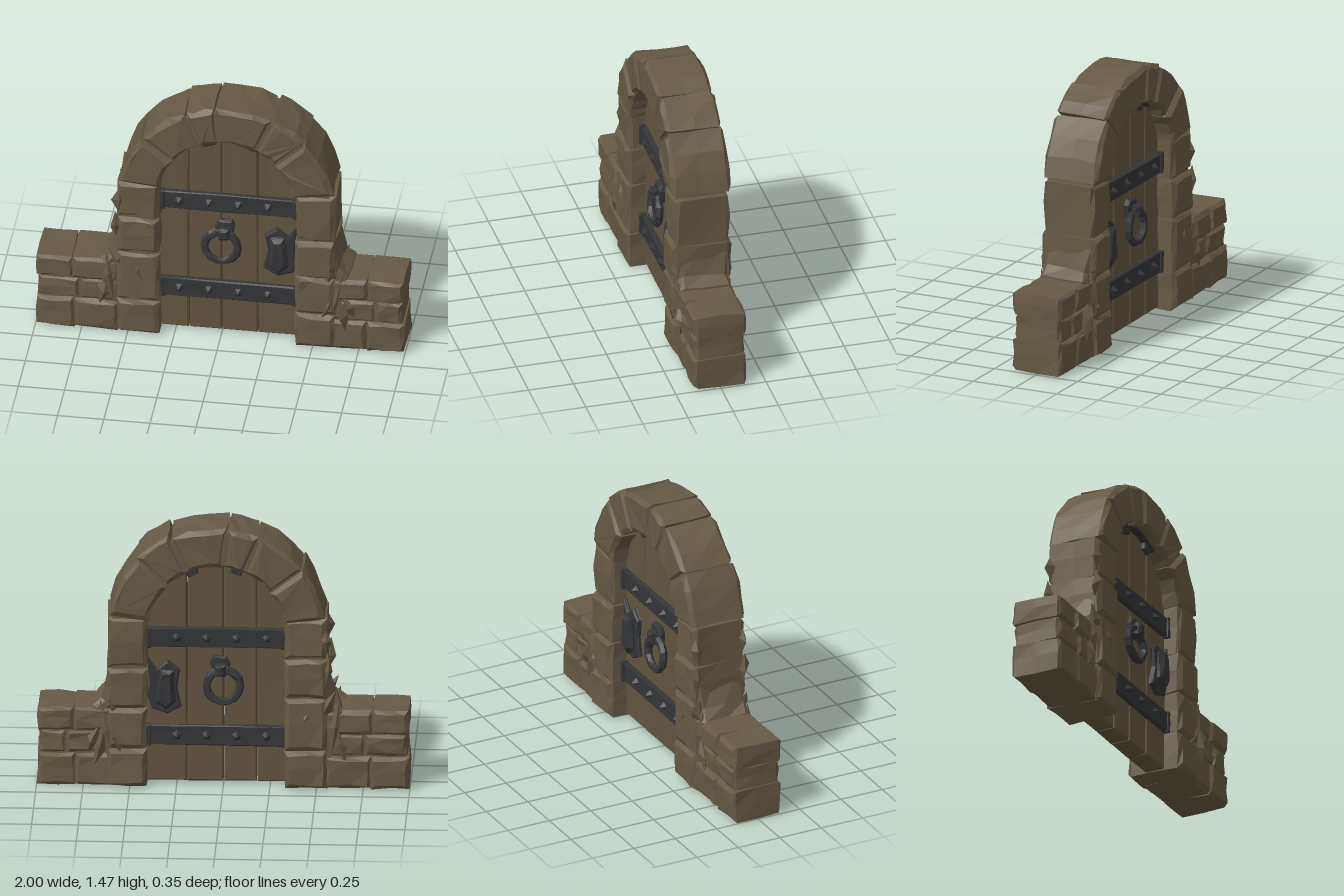
import * as THREE from 'three';

const mat = (name, color) => new THREE.MeshStandardMaterial({ name, color, flatShading: true });

// Repeatable noise in -1..1, equal for equal positions
function noise(x, y, z, k) {
  const s = Math.sin(x * 127.1 + y * 311.7 + z * 74.7 + k * 53.3) * 43758.5453;
  return (s - Math.floor(s)) * 2 - 1;
}

// Moves coincident corners together for a hewn look
function roughen(geo, amount, seed = 0) {
  const p = geo.attributes.position;
  for (let i = 0; i < p.count; i++) {
    const q = [p.getX(i), p.getY(i), p.getZ(i)];
    const r = q.map(v => Math.round(v * 1000) / 1000 + 0);
    p.setXYZ(i, ...q.map((v, k) => v + noise(r[0], r[1], r[2], k + seed) * amount));
  }
  geo.computeVertexNormals();
  return geo;
}

export function createModel() {
  const root = new THREE.Group();
  root.name = 'archedDoor';
  const stone = mat('stone', 0x665a44);
  const wood = mat('wood', 0x62553f);
  const iron = mat('iron', 0x353638);

  const add = (name, geo, material, parent = root) => {
    const m = new THREE.Mesh(geo, material);
    m.name = name;
    parent.add(m);
    return m;
  };

  // Bevelled slab from an outline, spanning z0..z1
  function slab(points, z0, z1, bevel, rough, seed = 0) {
    const shape = new THREE.Shape(points.map(p => new THREE.Vector2(p[0], p[1])));
    const geo = new THREE.ExtrudeGeometry(shape, {
      depth: z1 - z0 - 2 * bevel, steps: 2, bevelEnabled: bevel > 0,
      bevelSize: bevel, bevelThickness: bevel, bevelOffset: -bevel, bevelSegments: 1
    });
    geo.translate(0, 0, z0 + bevel);
    return roughen(geo, rough, seed);
  }
  const rect = (x0, x1, y0, y1) => {
    const xm = x0 + (x1 - x0) * 0.45, ym = y0 + (y1 - y0) * 0.55;
    return [[x0, y0], [xm, y0], [x1, y0], [x1, ym], [x1, y1], [xm, y1], [x0, y1], [x0, ym]];
  };

  // Arch centre, inner and outer radius
  const CX = 0.035, CY = 0.89, RI = 0.37, RO = 0.583;
  const polar = (r, deg) => {
    const a = THREE.MathUtils.degToRad(deg);
    return [CX + r * Math.cos(a), CY + r * Math.sin(a)];
  };
  const arc = (r, a0, a1, n) => Array.from({ length: n + 1 }, (_, i) => polar(r, a0 + (a1 - a0) * i / n));

  // Pillar stones
  const pillars = [
    { x: [-0.555, -0.33], ys: [0.008, 0.22, 0.52, 0.74, 0.97] },
    { x: [0.41, 0.622], ys: [0.008, 0.22, 0.45, 0.68, 0.97] }
  ];
  pillars.forEach(({ x, ys }, s) => {
    for (let i = 0; i < 4; i++) {
      const d = i === 3 ? 0.152 : 0.162;
      add('pillarStone', slab(rect(x[0], x[1], ys[i] + 0.002, ys[i + 1] - 0.002), -d, d, 0.022, 0.007, s * 4 + i), stone);
    }
  });

  // Arch stones
  const joints = [9, 44, 65, 96, 113, 142, 172];
  for (let i = 0; i < 6; i++) {
    const a0 = joints[i] + 0.4, a1 = joints[i + 1] - 0.4;
    const d = i === 5 || i === 0 ? 0.165 : 0.153;
    const outline = [...arc(RO + (i === 1 ? 0.015 : 0), a0, a1, 3), ...arc(RI, a1, a0, 3)];
    add('archStone', slab(outline, -d, d, 0.022, 0.007, 20 + i), stone);
  }

  // Mortar filling the joints of the frame
  add('frameMortar', slab([[0.6, 0.01], ...arc(RO - 0.02, 0, 180, 20), [-0.54, 0.01],
    [-0.345, 0.01], ...arc(RI + 0.012, 180, 0, 20), [0.425, 0.01]], -0.138, 0.138, 0, 0), stone);

  // Low side walls: rows of [y0, y1, joint x, half depth]
  const rows = [[0.008, 0.188, 0.79, 0.148], [0.19, 0.318, 0.84, 0.138], [0.32, 0.448, 0.8, 0.147]];
  for (const s of [-1, 1]) {
    const inner = 0.55;
    rows.forEach(([y0, y1, xj, d], r) => {
      const end = r === 1 ? 0.984 : 0.994;
      const cut = s < 0 && r === 1 ? 0.76 : xj;
      for (const [a, b] of [[inner, cut - 0.002], [cut + 0.002, end]]) {
        const lo = Math.min(s * a, s * b), hi = Math.max(s * a, s * b);
        add('wallStone', slab(rect(lo, hi, y0, y1), -d, d, 0.018, 0.006, 40 + r * 3 + s), stone);
      }
    });
    const core = new THREE.BoxGeometry(0.42, 0.42, 0.25);
    core.translate(s * 0.765, 0.22, 0);
    add('wallMortar', core, stone);

    // Sloping rubble where wall meets pillar
    const foot = s < 0 ? -0.54 : 0.6, out = s < 0 ? -0.64 : 0.69;
    add('rubbleFill', slab([[foot, 0.1], [out, 0.3], [out, 0.45], [(foot + out) / 2, 0.5], [foot, 0.66]],
      -0.14, 0.14, 0.02, 0.012, 60 + s), stone);
  }

  // Jagged shards along the wall joints, on both faces: [x, y, length, tilt]
  const shards = [
    [-0.6, 0.36, 0.28, 0.15], [-0.63, 0.26, 0.2, -0.2], [-0.56, 0.48, 0.2, 0.5], [-0.45, 0.42, 0.2, 0.45],
    [-0.56, 0.68, 0.18, 0.05], [-0.55, 0.85, 0.14, -0.1], [0.63, 0.34, 0.32, -0.2], [0.66, 0.24, 0.24, 0.2],
    [0.6, 0.5, 0.24, -0.1], [0.58, 0.28, 0.2, -0.35], [0.7, 0.27, 0.16, 0.4]
  ];
  for (const f of [-1, 1]) shards.forEach(([x, y, len, tilt], i) => {
    const geo = roughen(new THREE.OctahedronGeometry(1), 0.25, i + f);
    const m = add('shard', geo, stone);
    m.scale.set(0.034, len / 2, 0.03);
    m.rotation.z = tilt;
    m.position.set(x, y, f * 0.14);
  });

  // Door planks, tops hidden behind the arch
  const edges = [-0.345, -0.18, 0.0, 0.195, 0.425];
  const top = x => CY + Math.sqrt(Math.max(0, 0.395 ** 2 - (x - CX) ** 2));
  for (let i = 0; i < 4; i++) {
    const a = edges[i] + 0.002, b = edges[i + 1] - 0.002;
    const outline = [[a, 0.012], [b, 0.012], [b, 0.5]];
    for (let k = 0; k <= 4; k++) { const x = b + (a - b) * k / 4; outline.push([x, top(x)]); }
    outline.push([a, 0.6]);
    add('plank', slab(outline, -0.058, 0.058, 0.008, 0.002, 80 + i), wood);
  }

  // Iron fittings, the same on both faces
  const tilt = 0.06;
  for (const f of [1, -1]) {
    const fittings = new THREE.Group();
    fittings.name = f > 0 ? 'frontFittings' : 'backFittings';
    root.add(fittings);
    // mirrored in z by building each part at signed depth
    const plate = (name, pts, z0, z1, bevel, rough, seed) =>
      add(name, slab(pts, Math.min(f * z0, f * z1), Math.max(f * z0, f * z1), bevel, rough, seed), iron, fittings);

    for (const [y0, y1] of [[0.222, 0.335], [0.78, 0.89]]) {
      plate('strap', rect(-0.335, 0.415, y0, y1), 0.045, 0.085, 0.006, 0.003, 5);
      for (const x of [-0.32, 0.4]) plate('strapEnd', rect(x - 0.012, x + 0.012, y0 - 0.002, y1 + 0.004), 0.06, 0.096, 0.004, 0.002, 6);
      for (const x of [-0.23, -0.07, 0.09, 0.25]) {
        const rivet = add('rivet', new THREE.ConeGeometry(0.028, 0.03, 5), iron, fittings);
        rivet.rotation.x = f * Math.PI / 2;
        rivet.position.set(x, (y0 + y1) / 2, f * 0.098);
      }
    }

    // Ring and its holder
    const ring = add('ringHandle', roughen(new THREE.TorusGeometry(0.09, 0.022, 6, 14), 0.003), iron, fittings);
    ring.position.set(0, 0.57, f * 0.095);
    ring.rotation.x = -f * tilt;
    plate('ringHolder', [[-0.025, 0.625], [0.06, 0.625], [0.07, 0.7], [0.055, 0.73], [-0.015, 0.73], [-0.035, 0.69]],
      0.05, 0.09, 0.008, 0.003, 7);
    plate('ringClasp', rect(-0.012, 0.045, 0.63, 0.695), 0.08, 0.132, 0.012, 0.003, 8);

    // Lock plate with raised boss
    plate('lockPlate', [[0.225, 0.44], [0.3, 0.4], [0.385, 0.43], [0.41, 0.5], [0.395, 0.57], [0.41, 0.72],
      [0.36, 0.65], [0.3, 0.7], [0.235, 0.65], [0.25, 0.55]], 0.05, 0.082, 0.008, 0.003, 9);
    plate('lockBoss', [[0.255, 0.48], [0.31, 0.43], [0.365, 0.48], [0.355, 0.6], [0.34, 0.66], [0.27, 0.65], [0.265, 0.57]],
      0.075, 0.125, 0.02, 0.004, 10);

    // Trim under the crown of the arch
    plate('archTrim', [...arc(0.385, 60, 122, 8), ...arc(0.361, 122, 60, 8)], 0.05, 0.1, 0, 0);
    for (const a of [67, 108]) plate('trimStud', [...arc(0.385, a - 6, a + 6, 2), ...arc(0.325, a + 5, a - 5, 2)],
      0.05, 0.085, 0.006, 0.003, a);
  }
  return root;
}
